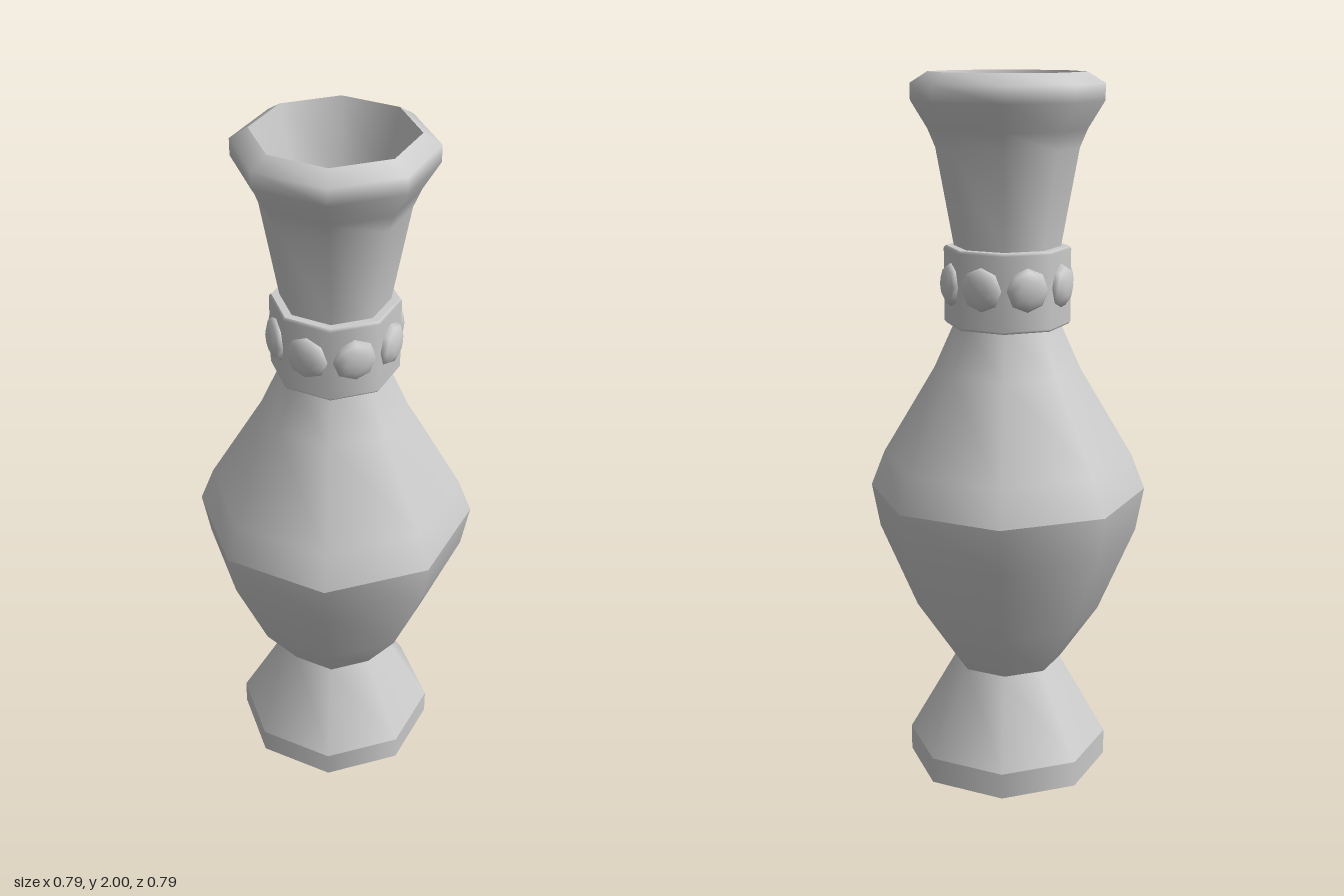
import * as THREE from 'three';

const SIDES = 8;
const material = new THREE.MeshStandardMaterial({ color: 0xcccccc });

// Turns a profile [radius, height]; each part is smooth inside and sharp where it meets the next.
function turned(name, profile) {
  const points = profile.map(([r, y]) => new THREE.Vector2(r, y));
  const mesh = new THREE.Mesh(new THREE.LatheGeometry(points, SIDES), material);
  mesh.name = name;
  return mesh;
}

export function createModel() {
  const vase = new THREE.Group();
  vase.name = 'vase';

  // Foot
  vase.add(
    turned('footUnderside', [[0, 0], [0.29, 0]]),
    turned('footBand', [[0.29, 0], [0.29, 0.075]]),
    turned('footCone', [[0.29, 0.075], [0.155, 0.314]]),
  );

  // Belly, with a sharp ridge at its widest point
  vase.add(
    turned('lowerBelly', [[0.155, 0.314], [0.265, 0.47], [0.37, 0.715], [0.393, 0.84]]),
    turned('upperBelly', [[0.393, 0.84], [0.354, 0.94], [0.206, 1.19], [0.148, 1.32]]),
  );

  // Neck and flared lip
  vase.add(
    turned('neck', [
      [0.148, 1.32], [0.148, 1.535], [0.196, 1.8], [0.217, 1.85],
      [0.263, 1.925], [0.263, 1.97], [0.215, 2],
    ]),
    turned('mouthInside', [[0.215, 2], [0.165, 1.83], [0.097, 1.52]]),
    turned('mouthFloor', [[0.097, 1.52], [0, 1.52]]),
  );

  // Collar around the neck
  vase.add(
    turned('collarUnderside', [[0.14, 1.318], [0.17, 1.318]]),
    turned('collarBand', [[0.17, 1.318], [0.176, 1.325], [0.176, 1.528], [0.17, 1.535]]),
    turned('collarTop', [[0.17, 1.535], [0.14, 1.535]]),
  );

  // One domed stud on each flat of the collar
  const dome = new THREE.SphereGeometry(0.06, 8, 3, 0, Math.PI * 2, 0, Math.PI / 2);
  dome.rotateX(Math.PI / 2);
  dome.scale(1, 1, 0.45);
  const flat = 0.176 * Math.cos(Math.PI / SIDES);
  for (let i = 0; i < SIDES; i++) {
    const angle = ((i + 0.5) / SIDES) * Math.PI * 2;
    const stud = new THREE.Mesh(dome, material);
    stud.name = 'collarStud';
    stud.position.set(Math.sin(angle) * flat, 1.435, Math.cos(angle) * flat);
    stud.rotation.y = angle;
    vase.add(stud);
  }
  return vase;
}
